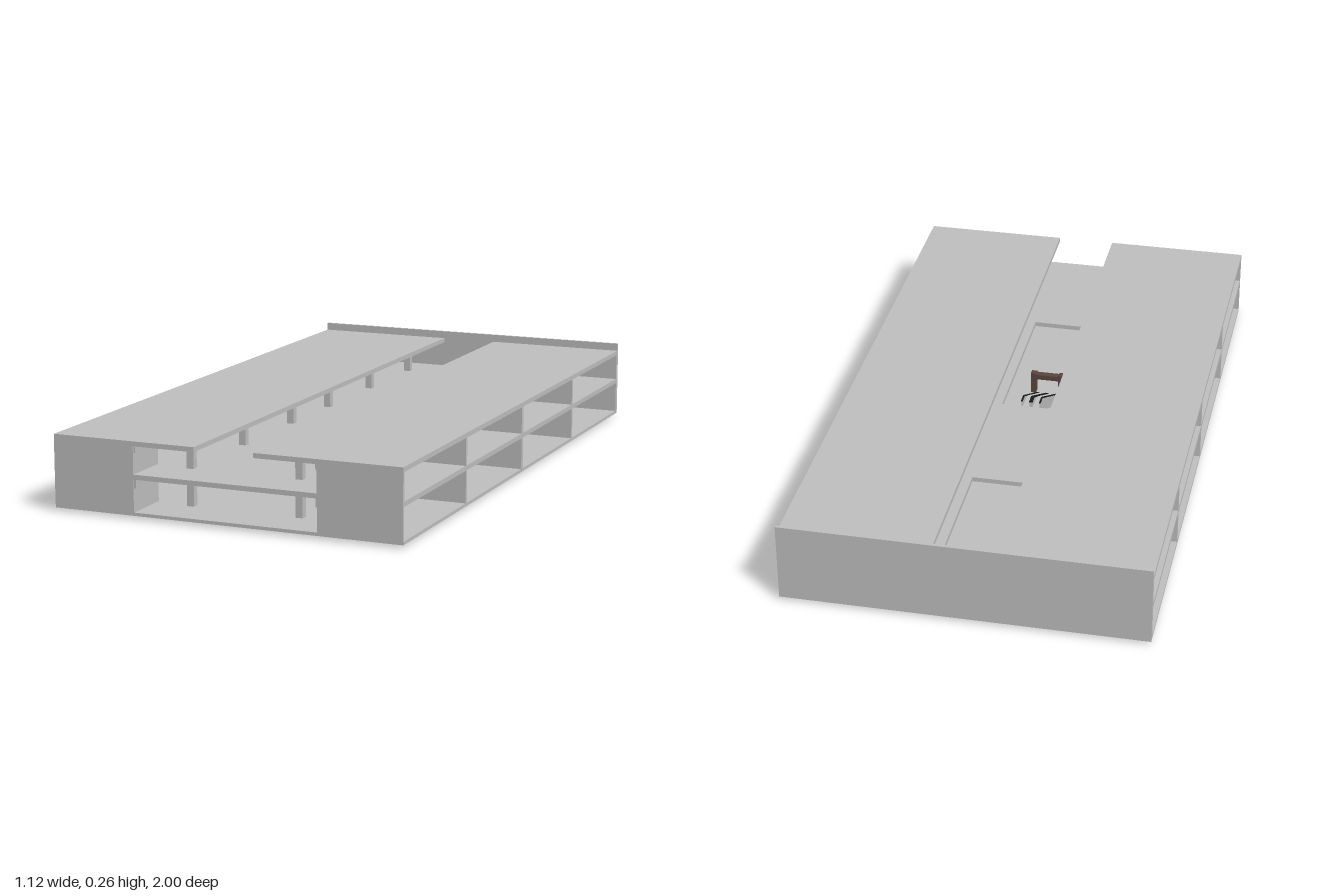
import * as THREE from 'three';

const concrete = new THREE.MeshStandardMaterial({ color: 0xc0c0c0 });
concrete.name = 'concrete grey';
const brown = new THREE.MeshStandardMaterial({ color: 0x5a463e });
brown.name = 'dark brown';
const black = new THREE.MeshStandardMaterial({ color: 0x1c1c1c });
black.name = 'handrail black';

// Box given by its lower and upper corner
function block(parent, name, x0, x1, y0, y1, z0, z1, material = concrete) {
  const mesh = new THREE.Mesh(new THREE.BoxGeometry(x1 - x0, y1 - y0, z1 - z0), material);
  mesh.position.set((x0 + x1) / 2, (y0 + y1) / 2, (z0 + z1) / 2);
  mesh.name = name;
  parent.add(mesh);
  return mesh;
}

// Same box on both sides of x = 0
function pair(parent, name, x0, x1, ...rest) {
  block(parent, name + 'Left', x0, x1, ...rest);
  block(parent, name + 'Right', -x1, -x0, ...rest);
}

// Side outline in (z, y) extruded across x
function sideExtrude(parent, name, points, x, width, material = concrete) {
  const shape = new THREE.Shape(points.map(p => new THREE.Vector2(p[0], p[1])));
  const geometry = new THREE.ExtrudeGeometry(shape, { depth: width, bevelEnabled: false });
  geometry.rotateY(-Math.PI / 2).translate(x + width / 2, 0, 0);
  const mesh = new THREE.Mesh(geometry, material);
  mesh.name = name;
  parent.add(mesh);
}

const W = 0.56, AISLE = 0.295, VOID = 0.095;
const LEVELS = [[0.02, 0.12, 0.093], [0.135, 0.22, 0.2]]; // floor, ceiling, header underside

// One half of the building, z0 to z0 + 0.995
function buildModule(z0) {
  const half = new THREE.Group();
  half.name = 'buildingHalf';
  const z1 = z0 + 0.995, mid = (z0 + z1) / 2;

  block(half, 'groundSlab', -W, W, 0.01, 0.02, z0 + 0.004, z1 - 0.002);

  // Upper floor with a stair opening
  pair(half, 'upperFloor', VOID, W, 0.12, 0.135, z0, z1);
  block(half, 'upperFloorBridge', -VOID, VOID, 0.12, 0.135, z0 + 0.55, z1);
  pair(half, 'roof', VOID, W, 0.22, 0.235, z0, z1);

  for (const [floor, ceiling, header] of LEVELS) {
    // Cross walls between the units
    for (const [a, b] of [[z0, z0 + 0.008], [mid - 0.005, mid + 0.005], [z1 - 0.008, z1]]) {
      pair(half, 'crossWall', AISLE, W, floor, ceiling, a, b);
    }
    // Shop fronts along the aisle with wide openings
    for (const [a, b] of [[0, 0.155], [0.425, 0.575], [0.84, 0.995]]) {
      pair(half, 'aisleWall', AISLE, AISLE + 0.008, floor, ceiling, z0 + a, z0 + b);
    }
    pair(half, 'header', AISLE - 0.006, AISLE + 0.007, header, ceiling, z0 + 0.004, z1 - 0.004);
    // Columns beside the aisle
    for (const dz of [-0.352, 0, 0.352]) {
      pair(half, 'column', 0.166, 0.189, floor, ceiling, mid + dz - 0.011, mid + dz + 0.011);
    }
  }
  return half;
}

function buildEscalators() {
  const group = new THREE.Group();
  group.name = 'escalators';

  // Stepped body with a landing on top and a pit below
  const steps = 14, body = [[0.075, 0.09], [0.235, 0], [0.3, 0], [0.3, 0.008]];
  for (let i = 0; i < steps; i++) {
    const z = 0.29 - (0.225 * i) / steps;
    body.push([z, 0.008 + (0.122 * i) / steps], [z, 0.008 + (0.122 * (i + 1)) / steps]);
  }
  body.push([0.005, 0.13], [0.005, 0.115]);
  for (const x of [-0.0165, 0.0165]) sideExtrude(group, 'stepFlight', body, x, 0.023);

  // Side panels and their handrails
  const panel = [[0.075, 0.088], [0.235, 0], [0.3, 0], [0.3, 0.009], [0.04, 0.151], [0.005, 0.151], [0.005, 0.115]];
  const rail = [[0.3, 0.009], [0.3, 0.013], [0.04, 0.155], [0.005, 0.155], [0.005, 0.151], [0.04, 0.151]];
  for (const x of [-0.03, -0.003, 0.003, 0.03]) {
    sideExtrude(group, 'sidePanel', panel, x, 0.003);
    sideExtrude(group, 'handrail', rail, x, 0.005, black);
  }

  // Entrance gate at the foot
  pair(group, 'gatePost', 0.038, 0.056, 0.02, 0.094, 0.281, 0.303, brown);
  block(group, 'gateBeam', -0.038, 0.038, 0.073, 0.09, 0.281, 0.303, brown);
  return group;
}

export function createModel() {
  const model = new THREE.Group();
  model.name = 'twoStoreyArcade';
  model.add(buildModule(0.005), buildModule(-0.99), buildEscalators());
  block(model, 'backWall', -W, W, 0.01, 0.26, -1, -0.99);
  return model;
}
